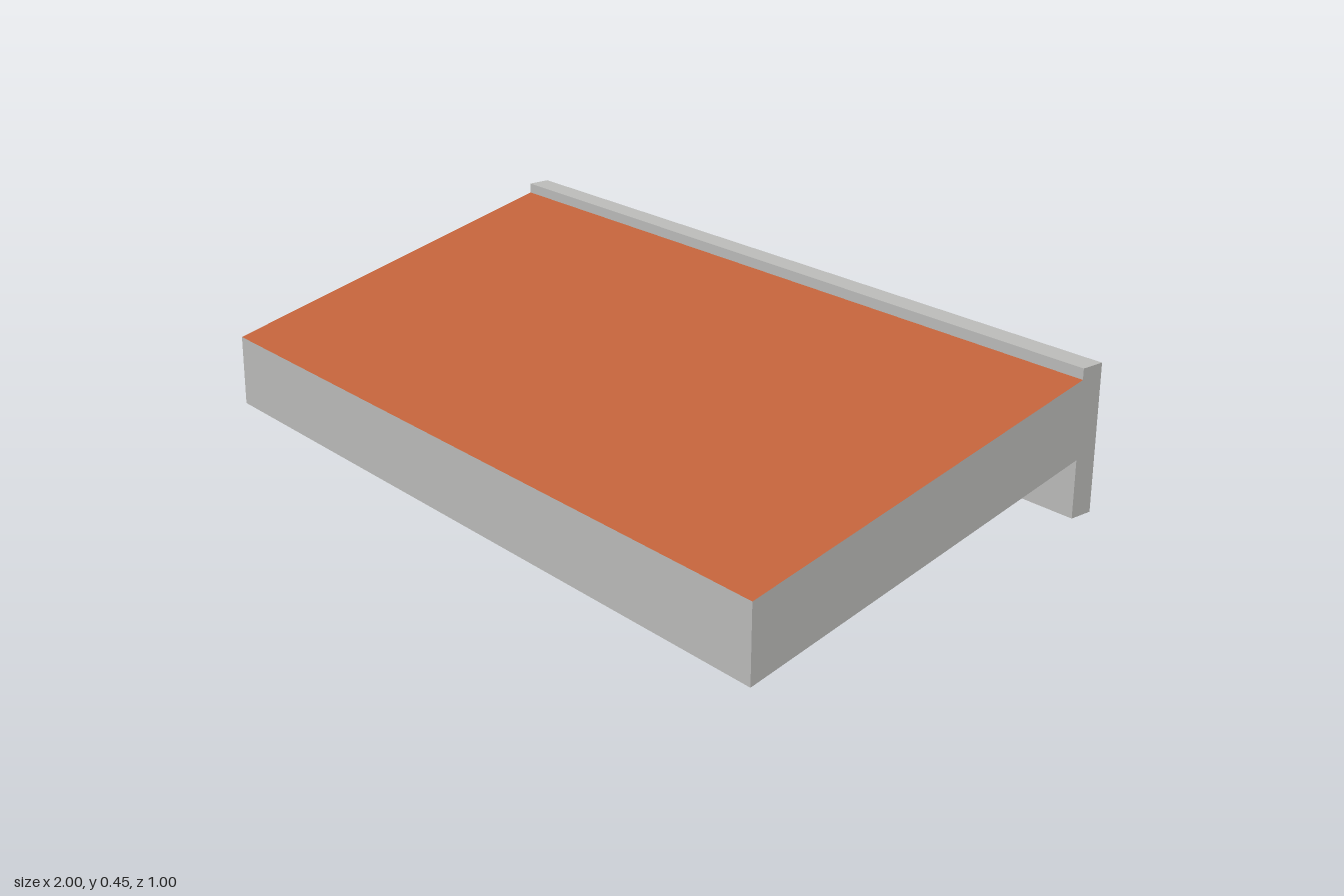
import * as THREE from 'three';

export function createModel() {
  const group = new THREE.Group();
  const concrete = new THREE.MeshStandardMaterial({ color: 0xbcbcba });
  concrete.name = 'light grey';
  const terracotta = new THREE.MeshStandardMaterial({ color: 0xc0623a });
  terracotta.name = 'terracotta';

  // Sloping slab: a box sheared so it rises towards the back, terracotta on top
  const slope = 0.25, thickness = 0.185, front = 0.5, back = -0.44;
  const slabGeometry = new THREE.BoxGeometry(2, thickness, front - back);
  slabGeometry.translate(0, thickness / 2, (front + back) / 2);
  const p = slabGeometry.attributes.position;
  for (let i = 0; i < p.count; i++) {
    p.setY(i, p.getY(i) + (front - p.getZ(i)) * slope);
  }
  slabGeometry.computeVertexNormals();
  // Box face order: +x, -x, top, bottom, front, back
  const slab = new THREE.Mesh(slabGeometry,
    [concrete, concrete, terracotta, concrete, concrete, concrete]);
  slab.name = 'slopingSlab';
  group.add(slab);

  // Upright beam along the high back edge
  const bottom = 0.097, top = 0.446;
  const beam = new THREE.Mesh(new THREE.BoxGeometry(2, top - bottom, 0.06), concrete);
  beam.position.set(0, (top + bottom) / 2, -0.47);
  beam.name = 'backBeam';
  group.add(beam);

  return group;
}
